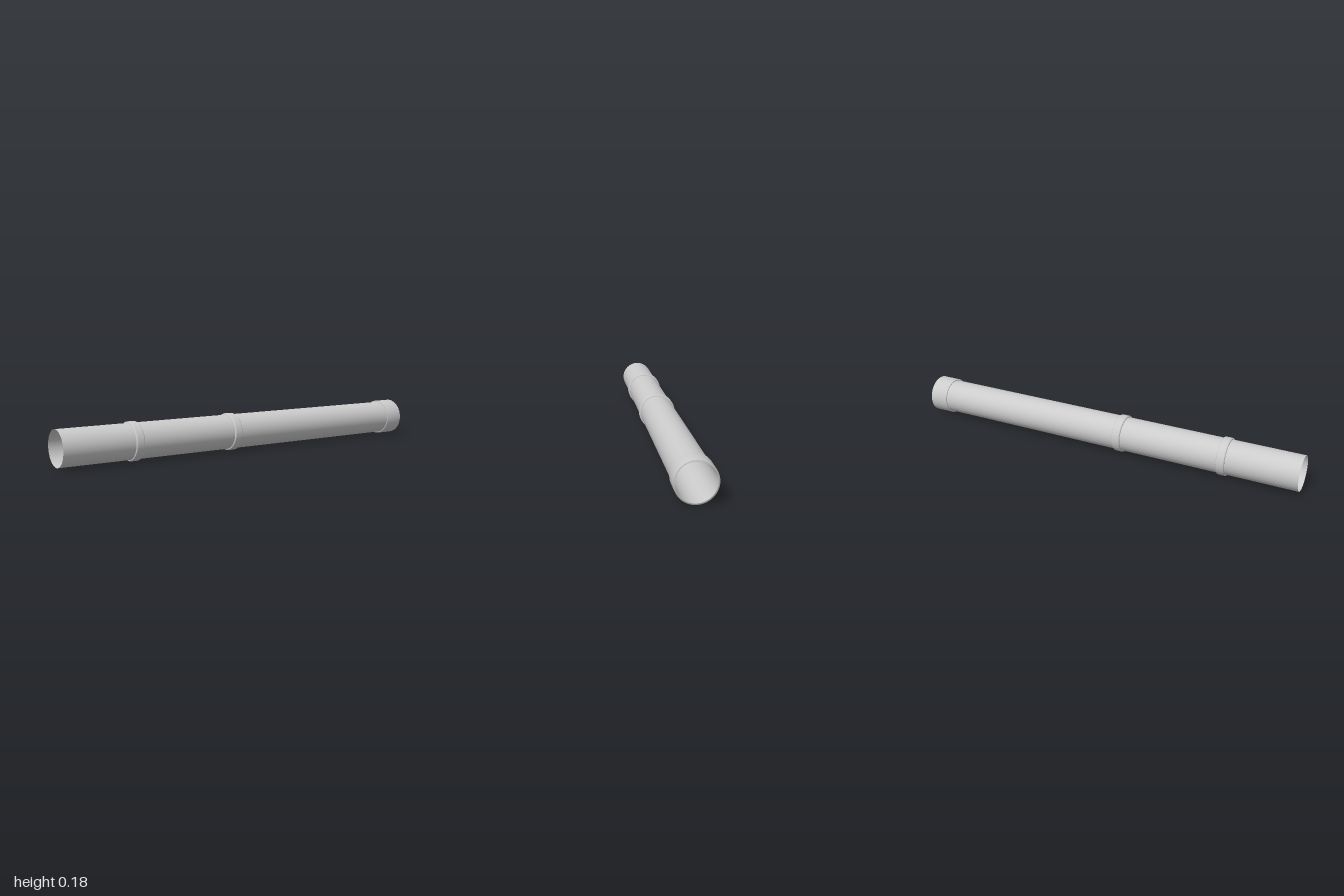
import * as THREE from 'three';

const PIPE_R = 0.084;   // pipe wall radius
const OUTER_R = 0.091;  // radius of collar and bands
const SEGMENTS = 64;

// Revolve a [radius, z] profile (listed by rising z) around the pipe's axis
function revolve(name, profile, material) {
  const points = profile.map(([r, z]) => new THREE.Vector2(r, z));
  const geometry = new THREE.LatheGeometry(points, SEGMENTS);
  geometry.rotateX(Math.PI / 2);
  const mesh = new THREE.Mesh(geometry, material);
  mesh.name = name;
  mesh.position.y = OUTER_R;
  return mesh;
}

export function createModel() {
  const group = new THREE.Group();
  group.name = 'pipe';
  const material = new THREE.MeshStandardMaterial({ color: 0xcccccc, side: THREE.DoubleSide });

  // Open, thin-walled tube
  group.add(revolve('tube', [[PIPE_R, -1], [PIPE_R, 1]], material));

  // Socket collar at the back end, softly shaded over its lips
  group.add(revolve('endCollar', [
    [PIPE_R, -1], [OUTER_R, -1], [OUTER_R, -0.905], [PIPE_R, -0.905],
  ], material));

  // Raised bands with rounded shoulders
  const half = 0.021, round = 0.006;
  [['middleBand', 0.105], ['frontBand', 0.637]].forEach(([name, z]) => {
    const profile = [[PIPE_R, -half]];
    for (const side of [-1, 1]) {
      for (let i = 0; i <= 4; i++) {
        const a = (side < 0 ? i : 4 - i) / 4 * Math.PI / 2;
        profile.push([
          OUTER_R - round + round * Math.sin(a),
          side * (half - round + round * Math.cos(a)),
        ]);
      }
    }
    profile.push([PIPE_R, half]);
    const band = revolve(name, profile, material);
    band.position.z = z;
    group.add(band);
  });

  return group;
}
